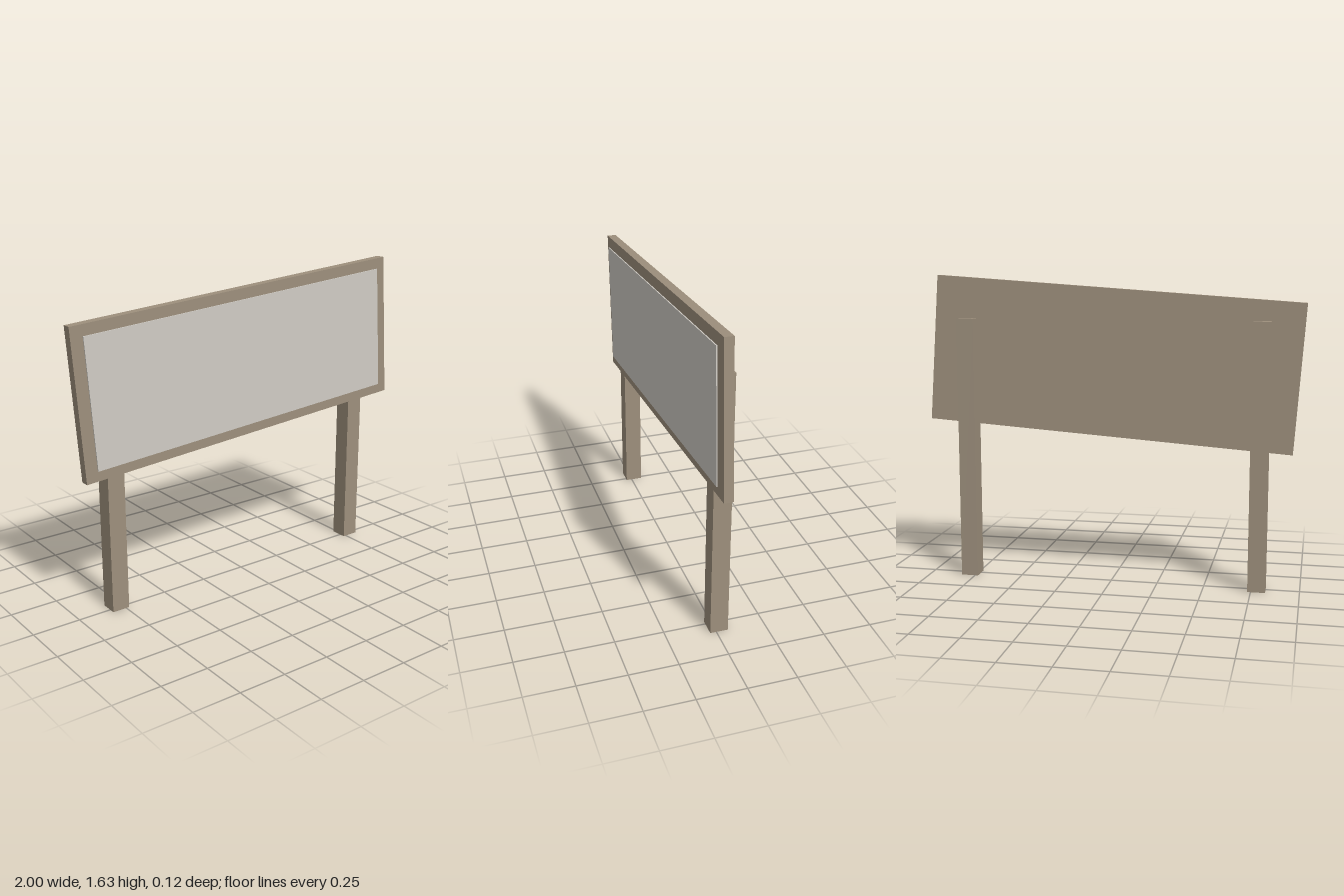
import * as THREE from 'three';

export function createModel() {
  const model = new THREE.Group();
  model.name = 'signboard';

  const wood = new THREE.MeshStandardMaterial({ name: 'wood', color: 0x9e907d });
  const paper = new THREE.MeshStandardMaterial({ name: 'pale panel', color: 0xd0ccc5 });

  const box = (name, size, position, material, parent) => {
    const mesh = new THREE.Mesh(new THREE.BoxGeometry(...size), material);
    mesh.name = name;
    mesh.position.set(...position);
    parent.add(mesh);
  };

  // Upright posts, let into the back of the board
  for (const [side, name] of [[1, 'leftPost'], [-1, 'rightPost']]) {
    box(name, [0.092, 1.4, 0.092], [side * 0.779, 0.7, -0.014], wood, model);
  }

  // Board hung slightly askew, with a thin panel standing just off its face
  const sign = new THREE.Group();
  sign.name = 'sign';
  sign.position.y = 1.173;
  sign.rotation.z = THREE.MathUtils.degToRad(4);
  box('board', [1.95, 0.775, 0.047], [0, 0, 0.0235], wood, sign);
  box('panel', [1.828, 0.665, 0.006], [0, 0, 0.057], paper, sign);
  model.add(sign);

  return model;
}
